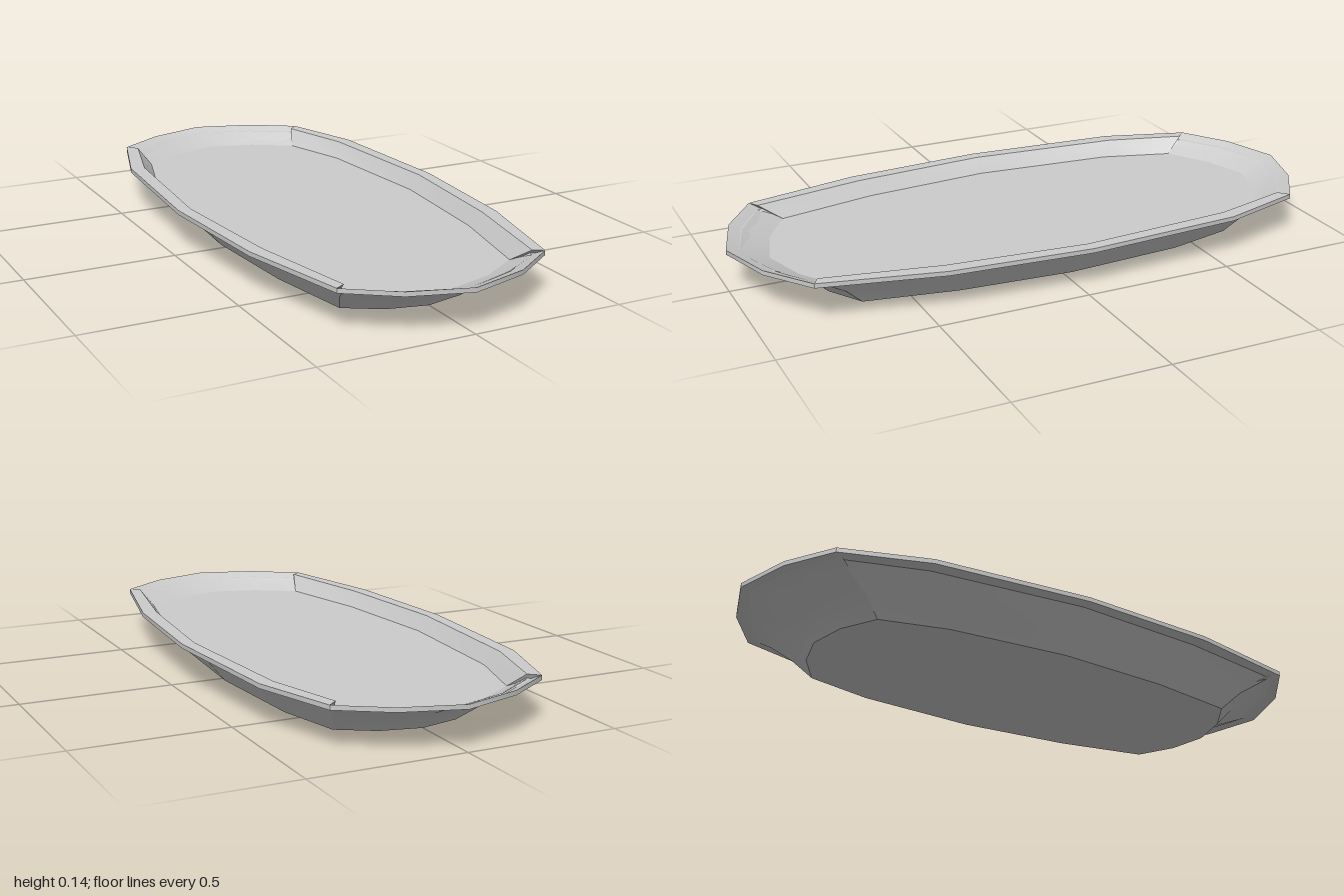
import * as THREE from 'three';

// Half outline (x >= 0, back to front) mirrored into a closed ring of 16 points.
function ring(y, half) {
  const heights = half.map((p) => (p.length > 2 ? p[2] : y));
  const right = half.map(([x, z], i) => new THREE.Vector3(x, heights[i], z));
  const left = right.slice(1, -1).reverse().map((p) => new THREE.Vector3(-p.x, p.y, p.z));
  return [...right, ...left];
}

const rimOutline = [[0, -1], [0.195, -0.94], [0.35, -0.84], [0.437, -0.56], [0.472, -0.03],
  [0.437, 0.44], [0.35, 0.83], [0.195, 0.94], [0, 1]];
const wallOutline = [[0, -0.96], [0.18, -0.9], [0.317, -0.81], [0.39, -0.55], [0.43, -0.03],
  [0.39, 0.43], [0.317, 0.81], [0.18, 0.9], [0, 0.96]];
const floorOutline = [[0, -0.877], [0.155, -0.83], [0.29, -0.745], [0.36, -0.51], [0.397, -0.03],
  [0.36, 0.4], [0.29, 0.735], [0.155, 0.82], [0, 0.865]];
const baseOutline = [[0, -0.75], [0.13, -0.72], [0.245, -0.65], [0.298, -0.43], [0.325, -0.03],
  [0.298, 0.35], [0.245, 0.65], [0.13, 0.72], [0, 0.75]];
// Halfway up the outside: straight on the long sides, hollowed at the ends.
const midOutline = baseOutline.map(([x, z], i) => {
  const t = 0.48;
  const [wx, wz] = wallOutline[i];
  return [x + (wx - x) * t, z + (wz - z) * t];
});
midOutline[0] = [0, -0.81];
midOutline[8] = [0, 0.81];
midOutline[1] = [0.145, -0.775];
midOutline[7] = [0.145, 0.775];
midOutline[2] = [0.277, -0.71];
midOutline[6] = [0.277, 0.71];

const base = ring(0, baseOutline);
const mid = ring(0.06, midOutline);
const wallTop = ring(0.125, wallOutline);
const rimLow = ring(0.125, rimOutline);
const rimTop = ring(0.14, rimOutline);
const lipInner = ring(0.14, wallOutline);
const floor = ring(0.09, floorOutline);
const centre = (y) => ring(y, rimOutline.map(() => [0, 0]));

export function createModel() {
  const group = new THREE.Group();
  const material = new THREE.MeshStandardMaterial({ color: 0xcccccc, side: THREE.DoubleSide });

  function addMesh(name, points, index) {
    const geometry = new THREE.BufferGeometry().setFromPoints(points);
    geometry.setIndex(index);
    geometry.computeVertexNormals();
    const mesh = new THREE.Mesh(geometry, material);
    mesh.name = name;
    group.add(mesh);
  }

  // Smooth surface through several rings, over count segments from point start.
  function strip(name, rings, start = 0, count = 16) {
    const points = [];
    const index = [];
    const n = count + 1;
    rings.forEach((r) => {
      for (let i = 0; i < n; i++) points.push(r[(start + i) % 16]);
    });
    for (let k = 0; k < rings.length - 1; k++) {
      for (let i = 0; i < count; i++) {
        const a = k * n + i;
        const b = a + n;
        index.push(a, b, b + 1, a, b + 1, a + 1);
      }
    }
    addMesh(name, points, index);
  }

  strip('baseUnderside', [centre(0), base]);
  strip('trayFloor', [floor, centre(0.09)]);
  strip('rimUnderside', [wallTop, rimLow]);

  // Long sides
  for (const [side, start] of [['left', 2], ['right', 10]]) {
    strip(side + 'OuterWall', [base, mid, wallTop], start, 4);
    strip(side + 'RimEdge', [rimLow, rimTop], start, 4);
    strip(side + 'Lip', [rimTop, lipInner], start, 4);
    strip(side + 'InnerWall', [lipInner, floor], start, 4);
  }

  // Sloping ends
  for (const [end, start] of [['front', 6], ['back', 14]]) {
    strip(end + 'OuterEnd', [base, mid, wallTop], start, 4);
    strip(end + 'RimEdge', [rimLow, rimTop], start, 4);
    strip(end + 'Ramp', [rimTop, floor], start, 4);
  }

  // Small gussets joining each lip to the end ramps
  for (const i of [2, 6, 10, 14]) {
    const flip = i === 2 || i === 10;
    addMesh('cornerGusset', [rimTop[i], lipInner[i], floor[i]], flip ? [2, 1, 0] : [0, 1, 2]);
  }
  return group;
}
